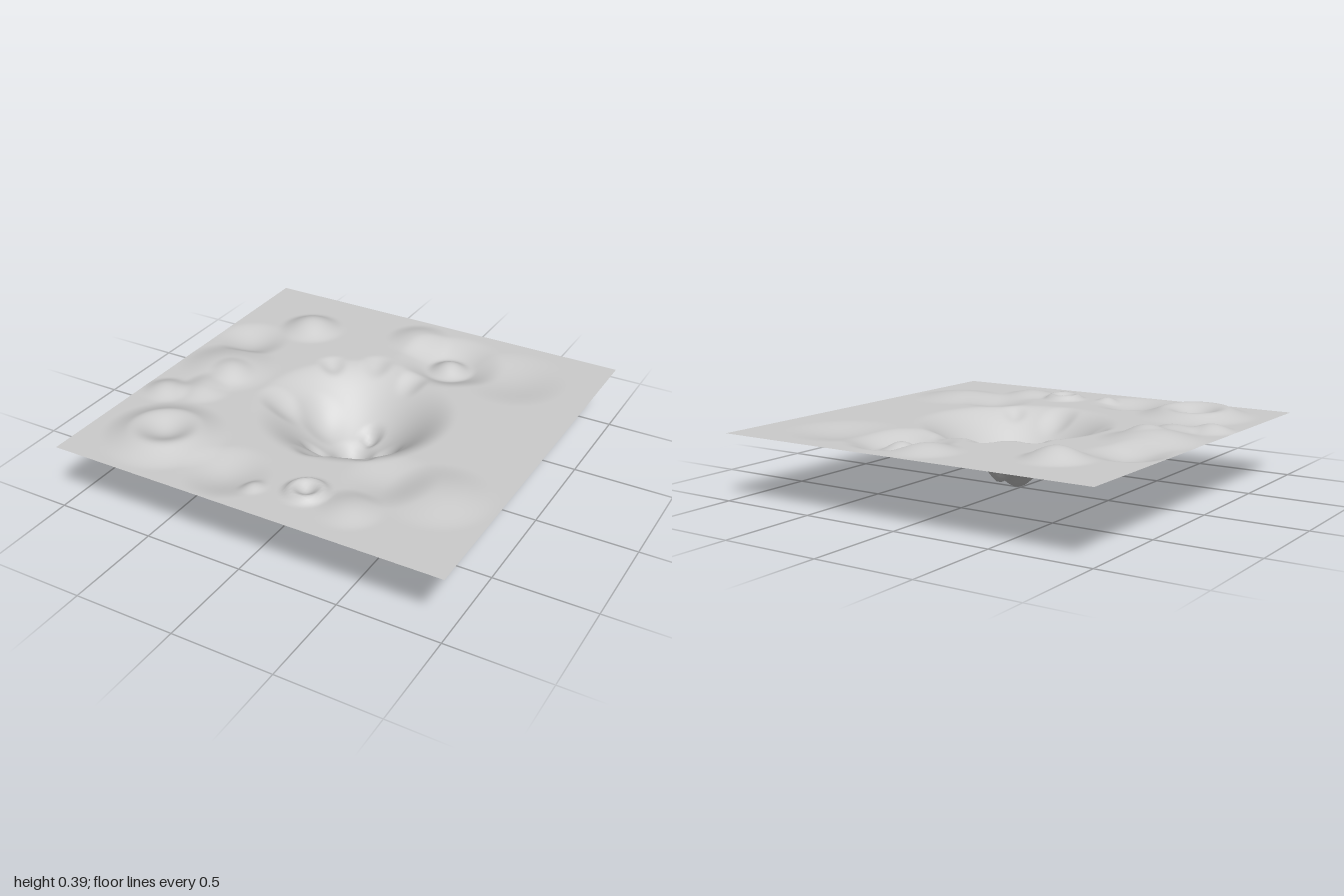
import * as THREE from 'three';

const LEVEL = 0.338; // height of the flat ground

// Each feature: [x, z, radius, height], negative heights are hollows
const crater = [
  [0.025, 0, 0.5, -0.28], // main bowl
  [0.02, 0.01, 0.12, -0.048], // pit at the bottom
  [0.05, 0.09, 0.06, -0.022],
  [0.04, -0.14, 0.07, -0.04],
  [-0.2, -0.06, 0.14, -0.03],
  [-0.35, 0.08, 0.12, -0.025],
  [-0.3, -0.34, 0.08, -0.025],
  [-0.1, -0.45, 0.09, -0.02],
  [0.13, -0.41, 0.09, -0.02],
  [0.2, 0.02, 0.1, -0.03],
  [-0.09, 0.19, 0.08, -0.03],
  [0.02, 0.39, 0.11, -0.025],
  [0.26, 0.34, 0.07, -0.018],
];
const ground = [
  // back
  [-0.6, -0.63, 0.18, 0.058],
  [-0.03, -0.8, 0.18, 0.035],
  [0.22, -0.66, 0.28, -0.085],
  [0.22, -0.66, 0.13, 0.075], // mound inside the hollow
  [0.58, -0.65, 0.28, -0.025],
  // right side
  [-0.81, -0.36, 0.2, -0.04],
  [-0.75, -0.04, 0.27, 0.05],
  [-0.67, 0.03, 0.12, 0.02],
  [-0.72, 0.22, 0.14, 0.03],
  [-0.88, 0.31, 0.13, 0.035],
  // ring crater
  [-0.63, 0.66, 0.31, 0.085],
  [-0.63, 0.65, 0.18, -0.085],
  // front
  [-0.2, 0.78, 0.22, -0.036],
  [-0.03, 0.82, 0.07, 0.02],
  [0.2, 0.74, 0.12, 0.085],
  [0.2, 0.74, 0.085, -0.09], // small steep ring
  [0.43, 0.76, 0.16, 0.025],
  // left side
  [0.48, 0.48, 0.22, -0.026],
  [0.72, 0.48, 0.26, 0.03],
];
const features = [...crater, ...ground];

// Sum of smooth bumps that fade to zero at their radius
function heightAt(x, z) {
  let y = LEVEL;
  for (const [cx, cz, r, h] of features) {
    const t = ((x - cx) ** 2 + (z - cz) ** 2) / (r * r);
    if (t < 1) y += h * (1 - t) ** 2;
  }
  return Math.max(0, y);
}

export function createModel() {
  const group = new THREE.Group();
  group.name = 'crateredGround';

  const greyRock = new THREE.MeshStandardMaterial({ color: 0xcccccc, side: THREE.DoubleSide });
  greyRock.name = 'greyRock';

  // Square sheet pushed up and down into hills and craters
  const geometry = new THREE.PlaneGeometry(2, 2, 128, 128).rotateX(-Math.PI / 2);
  const pos = geometry.attributes.position;
  for (let i = 0; i < pos.count; i++) pos.setY(i, heightAt(pos.getX(i), pos.getZ(i)));
  geometry.computeVertexNormals();
  geometry.computeBoundingBox();
  geometry.translate(0, -geometry.boundingBox.min.y, 0);

  const terrain = new THREE.Mesh(geometry, greyRock);
  terrain.name = 'terrain';
  group.add(terrain);
  return group;
}
